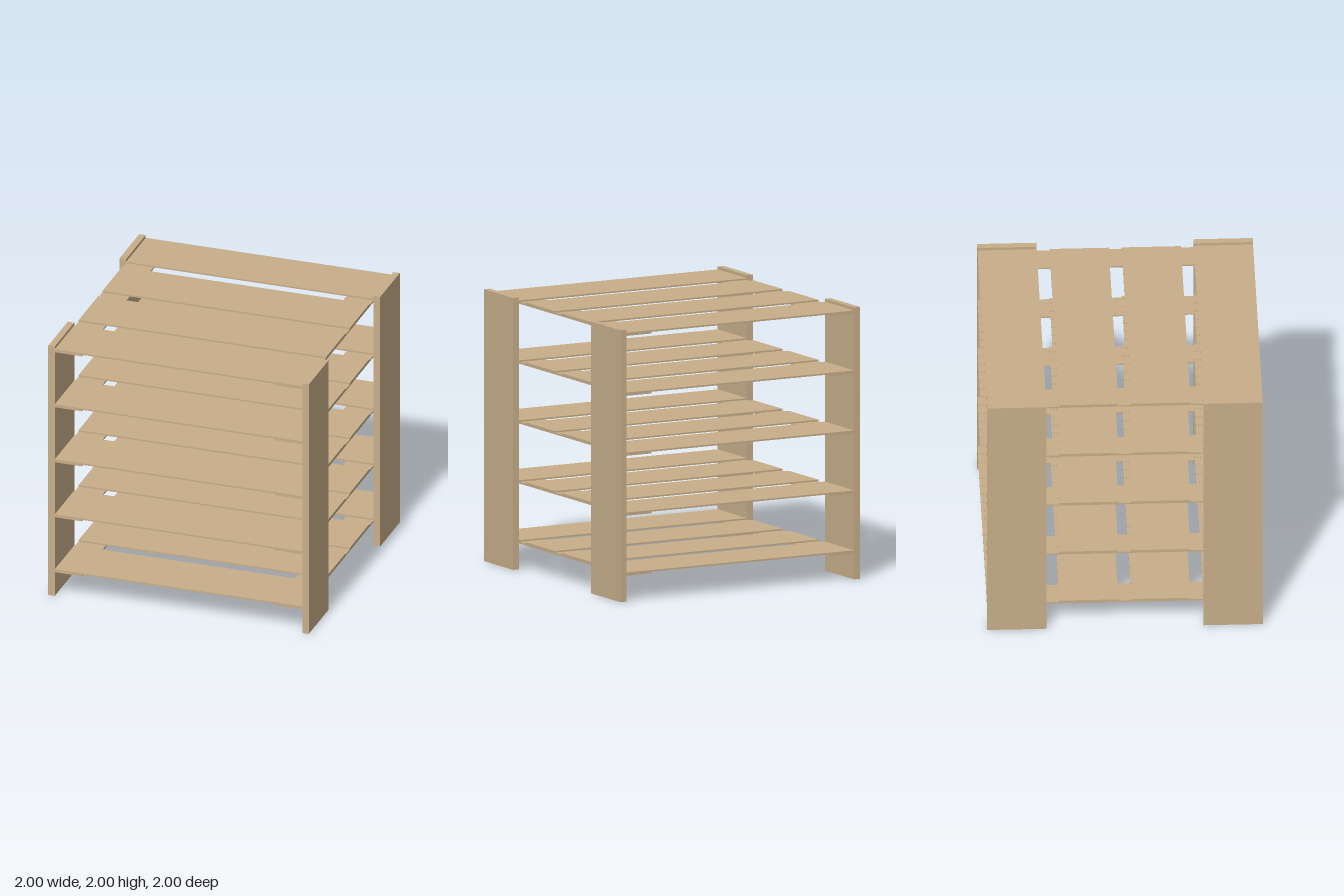
import * as THREE from 'three';

export function createModel() {
  const model = new THREE.Group();
  model.name = 'slattedShelfRack';
  const wood = new THREE.MeshStandardMaterial({ color: 0xc8ae8a });
  wood.name = 'wood';

  const boardWidth = 0.43, postThickness = 0.05, thin = 0.012;
  const innerWidth = 2 - 2 * postThickness;

  function addBoard(parent, name, size, position) {
    const mesh = new THREE.Mesh(new THREE.BoxGeometry(...size), wood);
    mesh.name = name;
    mesh.position.set(...position);
    parent.add(mesh);
  }

  // Four upright corner boards
  for (const x of [-1, 1]) {
    for (const z of [-1, 1]) {
      const name = (z > 0 ? 'front' : 'back') + (x > 0 ? 'Left' : 'Right') + 'Post';
      addBoard(model, name, [postThickness, 2, boardWidth],
        [x * (1 - postThickness / 2), 1, z * (1 - boardWidth / 2)]);
    }
  }

  // Five shelves: four slats resting on two cross battens
  const slatPitch = (2 - boardWidth) / 3, battenWidth = 0.21;
  for (let i = 0; i < 5; i++) {
    const shelf = new THREE.Group();
    shelf.name = 'shelf' + (i + 1);
    shelf.position.y = 0.202 + i * 0.441;
    for (let j = 0; j < 4; j++) {
      addBoard(shelf, 'slat' + (j + 1), [innerWidth, thin, boardWidth],
        [0, thin / 2, (j - 1.5) * slatPitch]);
    }
    for (const side of [-1, 1]) {
      addBoard(shelf, side > 0 ? 'leftBatten' : 'rightBatten', [battenWidth, thin, 2],
        [side * (innerWidth - battenWidth) / 2, -thin / 2, 0]);
    }
    model.add(shelf);
  }
  return model;
}
